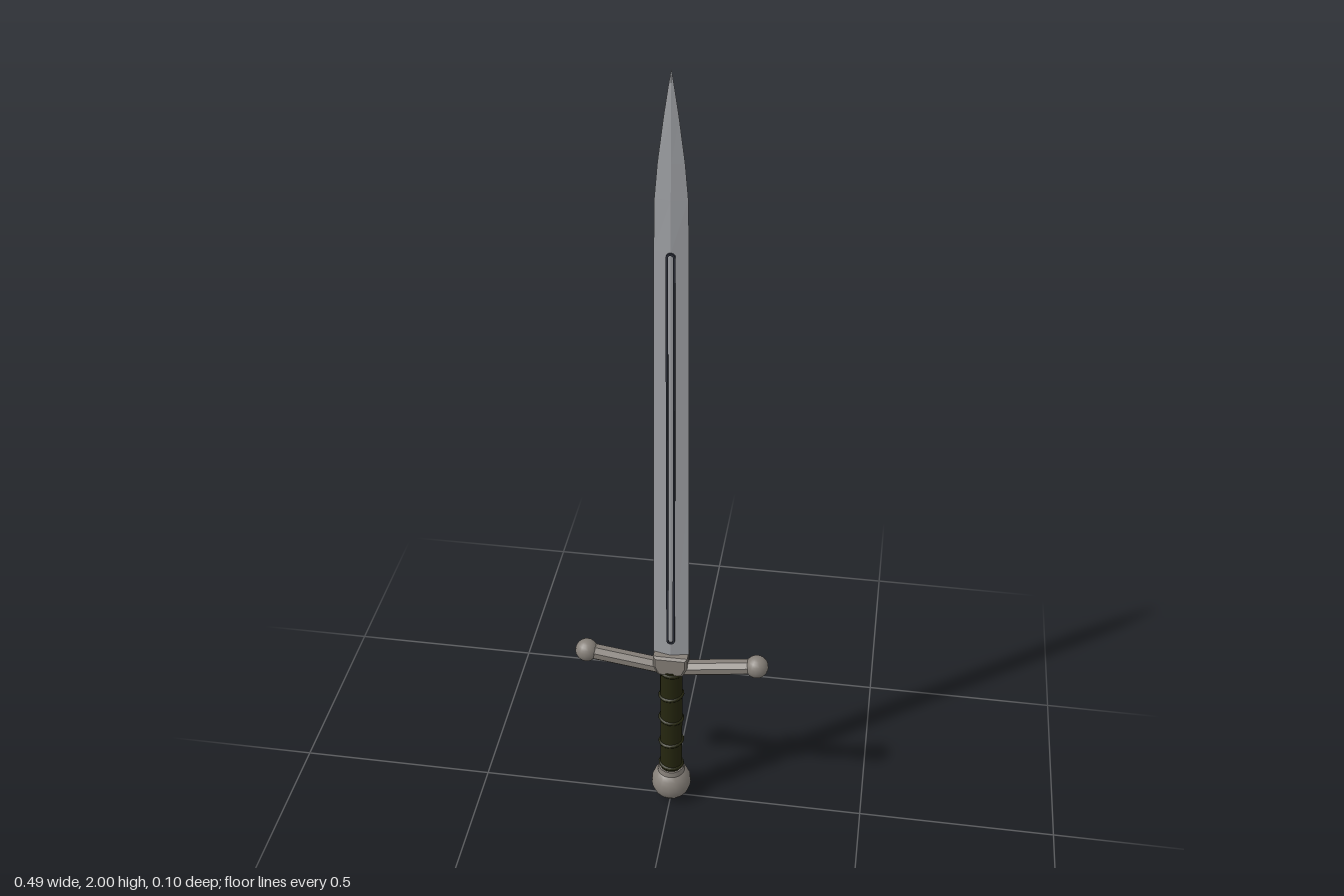
import * as THREE from 'three';

const mat = (name, color, flatShading = false) => {
  const m = new THREE.MeshStandardMaterial({ color });
  m.name = name;
  m.flatShading = flatShading;
  return m;
};

// Diamond cross-sections [y, half width, half thickness] joined into a blade
function bladeGeometry(sections) {
  const pos = [];
  const corner = ([y, w, t], i) => [[w, y, 0], [0, y, t], [-w, y, 0], [0, y, -t]][i % 4];
  for (let s = 0; s < sections.length - 1; s++) {
    for (let i = 0; i < 4; i++) {
      const a = corner(sections[s], i), b = corner(sections[s], i + 1);
      const c = corner(sections[s + 1], i), d = corner(sections[s + 1], i + 1);
      pos.push(...a, ...c, ...b, ...b, ...c, ...d);
    }
  }
  const g = new THREE.BufferGeometry();
  g.setAttribute('position', new THREE.Float32BufferAttribute(pos, 3));
  g.computeVertexNormals();
  return g;
}

// Upright slot outline with rounded ends
function slot(Type, r, y0, y1) {
  const p = new Type();
  p.moveTo(r, y0 + r);
  p.lineTo(r, y1 - r);
  p.absarc(0, y1 - r, r, 0, Math.PI, false);
  p.lineTo(-r, y0 + r);
  p.absarc(0, y0 + r, r, Math.PI, Math.PI * 2, false);
  return p;
}

export function createModel() {
  const root = new THREE.Group();
  root.name = 'sword';
  const steel = mat('blade steel', 0xa0a2a6);
  const rimDark = mat('dark fuller rim', 0x2b2e38);
  const metal = mat('guard metal', 0x857f78);
  const metalFlat = metal;
  const leather = mat('grip leather', 0x25260f);

  const add = (name, geo, material, parent = root) => {
    const m = new THREE.Mesh(geo, material);
    m.name = name;
    parent.add(m);
    return m;
  };

  // Blade
  add('blade', bladeGeometry([
    [0.45, 0.045, 0.0105], [1.0, 0.042, 0.0105], [1.6, 0.038, 0.0095], [1.72, 0.036, 0.008],
    [1.8, 0.029, 0.0065], [1.9, 0.016, 0.004], [1.96, 0.007, 0.002], [2.0, 0.0003, 0.0003],
  ]), steel);

  // Raised rim framing the fuller on both faces
  const rim = slot(THREE.Shape, 0.0105, 0.525, 1.6);
  rim.holes.push(slot(THREE.Path, 0.0055, 0.53, 1.595));
  const rimGeo = new THREE.ExtrudeGeometry(rim, { depth: 0.026, bevelEnabled: false, curveSegments: 6 });
  rimGeo.translate(0, 0, -0.013);
  add('fullerRim', rimGeo, rimDark);

  // Guard block, wider at the top
  const block = new THREE.Shape([
    [-0.027, 0.436], [0.027, 0.436], [0.037, 0.458], [0.037, 0.482], [-0.037, 0.482], [-0.037, 0.458],
  ].map(([x, y]) => new THREE.Vector2(x, y)));
  const blockGeo = new THREE.ExtrudeGeometry(block, {
    depth: 0.04, bevelThickness: 0.006, bevelSize: 0.006, bevelSegments: 1,
  });
  blockGeo.translate(0, 0, -0.02);
  add('guardBlock', blockGeo, metalFlat);

  // Octagonal guard arms rising to ball ends
  for (const side of [-1, 1]) {
    const arm = new THREE.Group();
    arm.name = side > 0 ? 'leftGuardArm' : 'rightGuardArm';
    root.add(arm);
    const from = new THREE.Vector3(side * 0.01, 0.44, 0);
    const to = new THREE.Vector3(side * 0.215, 0.47, 0);
    const dir = to.clone().sub(from);
    const geo = new THREE.CylinderGeometry(0.0205, 0.0205, dir.length(), 8, 1, false, Math.PI / 8).toNonIndexed();
    geo.computeVertexNormals();
    const bar = add('guardBar', geo, metalFlat, arm);
    bar.position.copy(from).add(to).multiplyScalar(0.5);
    bar.quaternion.setFromUnitVectors(new THREE.Vector3(0, 1, 0), dir.normalize());
    add('guardBall', new THREE.SphereGeometry(0.029, 16, 12), metal, arm).position.copy(to);
  }

  // Grip with tilted leather bands
  const grip = add('grip', new THREE.CylinderGeometry(0.0285, 0.0285, 0.34, 16), leather);
  grip.position.y = 0.27;
  for (let i = 0; i < 5; i++) {
    const band = add('gripBand', new THREE.TorusGeometry(0.0285, 0.005, 6, 16), leather);
    band.position.y = 0.115 + i * 0.079;
    band.rotation.set(Math.PI / 2, i % 2 ? 0.08 : -0.08, 0);
  }

  // Pommel and its collar
  add('pommelCollar', new THREE.CylinderGeometry(0.033, 0.036, 0.02, 16), metal).position.y = 0.095;
  const pommel = add('pommel', new THREE.SphereGeometry(0.052, 16, 12), metal);
  pommel.position.y = 0.052;

  return root;
}
